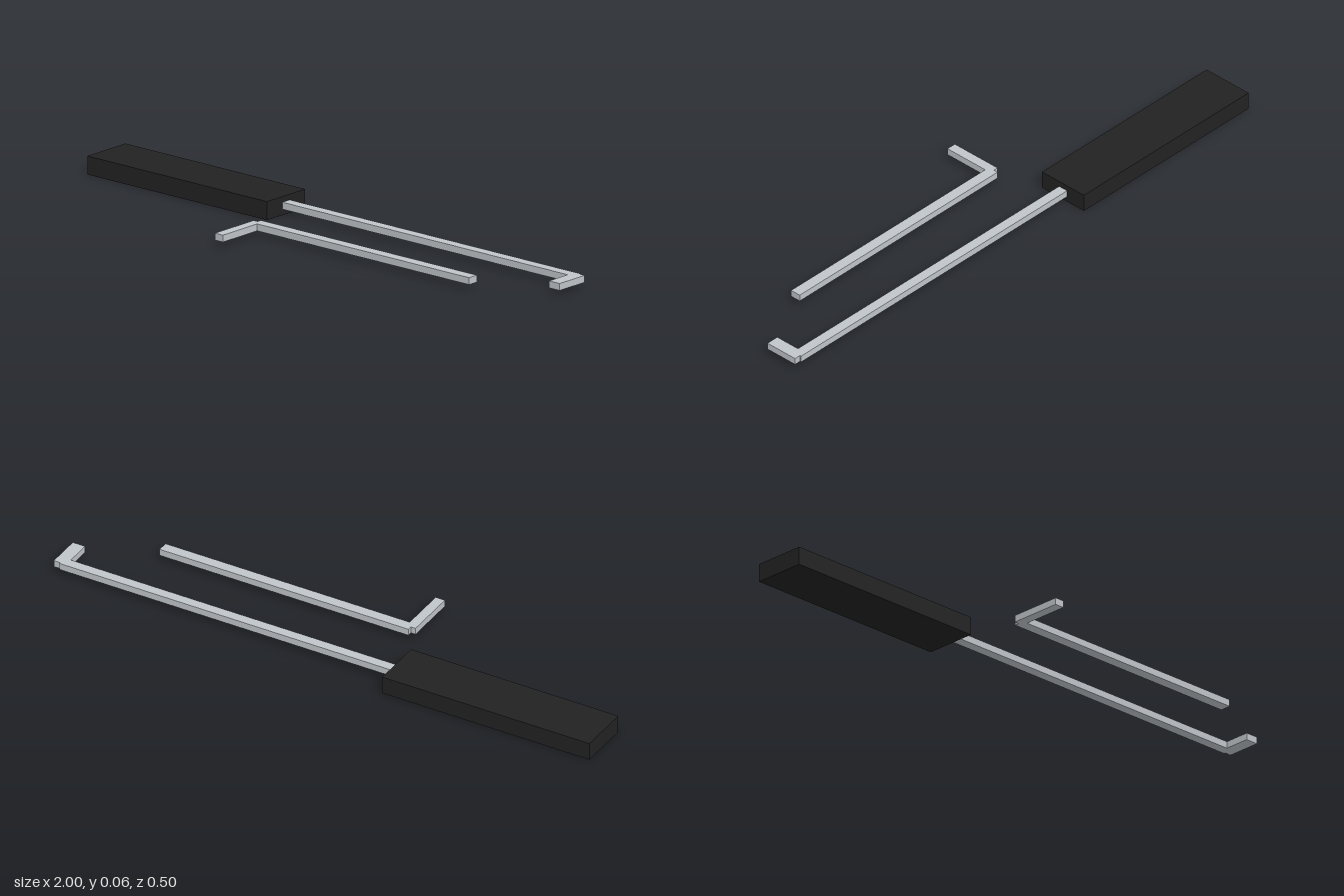
import * as THREE from 'three';

export function createModel() {
  const group = new THREE.Group();
  const black = new THREE.MeshStandardMaterial({ color: 0x222222 });
  black.name = 'black grip';
  const steel = new THREE.MeshStandardMaterial({ color: 0xc0c5c9 });
  steel.name = 'steel';

  // Box given by its extents along each axis
  function bar(name, material, [x0, x1], [y0, y1], [z0, z1]) {
    const mesh = new THREE.Mesh(new THREE.BoxGeometry(x1 - x0, y1 - y0, z1 - z0), material);
    mesh.position.set((x0 + x1) / 2, (y0 + y1) / 2, (z0 + z1) / 2);
    mesh.name = name;
    return mesh;
  }
  const metalY = [0.019, 0.042];

  // Handled hook: grip, long shaft and bent tip
  const hook = new THREE.Group();
  hook.name = 'hookTool';
  hook.add(
    bar('handle', black, [-1, -0.244], [0, 0.061], [-0.251, -0.069]),
    bar('shaft', steel, [-0.244, 0.977], metalY, [-0.178, -0.143]),
    bar('hookTip', steel, [0.955, 1], metalY, [-0.173, -0.053]),
  );

  // Separate L-shaped lever
  const lever = new THREE.Group();
  lever.name = 'leverTool';
  lever.add(
    bar('leverArm', steel, [-0.165, 0.743], metalY, [0.05, 0.0875]),
    bar('leverFoot', steel, [-0.182, -0.148], metalY, [0.066, 0.2515]),
  );

  group.add(hook, lever);
  return group;
}
